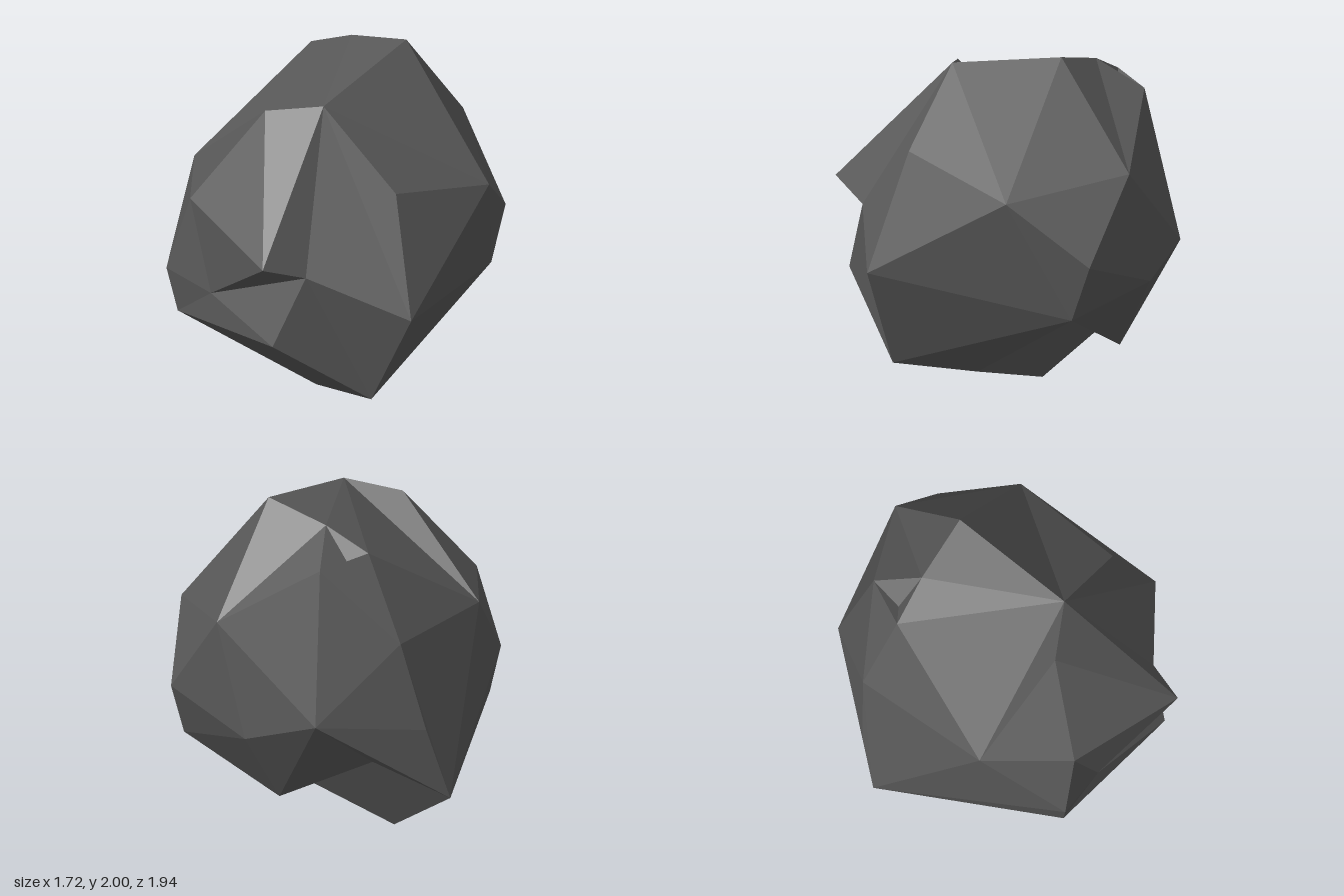
import * as THREE from 'three';

// Corners of the boulder: capitals and lower-case letters are separate points
const corners = {
  // crown
  A: [0, 1.87, 0.30], I: [-0.33, 1.81, 0.30], J: [0.34, 2.0, -0.34], V: [0, 1.915, -0.50],
  c: [-0.25, 1.80, -0.60], d: [-0.13, 1.75, -0.61], X: [0, 1.75, -0.77],
  // front, with the overhang C above the notch E
  B: [0, 1.05, 0.80], C: [-0.21, 1.16, 0.97], D: [-0.17, 0.65, 0.89], E: [-0.58, 0.79, 0.58],
  M: [0.58, 0.80, 0.72], N: [0.45, 1.47, 0.50],
  // sides
  F: [-0.86, 0.85, 0.44], G: [-0.72, 1.31, 0.47], H: [-0.80, 1.31, -0.05], S: [-0.80, 0.58, 0.42],
  K: [0.86, 1.28, -0.08], L: [0.86, 0.925, -0.545], Q: [0.80, 0.61, -0.44],
  // back
  W: [0.58, 1.40, -0.74], Y: [0, 0.89, -0.97], Z: [0.41, 0.75, -0.84],
  e: [-0.45, 1.33, -0.76], g: [-0.59, 0.815, -0.74], T: [-0.715, 0.38, -0.66],
  // underside
  O: [0.33, 0.23, 0.60], P: [0.33, 0.19, 0.13], R: [-0.34, 0, -0.17], U: [0, 0.24, 0.50],
  a: [0.24, 0.34, -0.655], b: [-0.25, 0.47, -0.41],
};

// Facets fan out from a hub to its rim, counter-clockwise from outside.
// A rim that ends on its first corner closes the fan.
const fans = {
  A: 'CBMNKJVcHIC', E: 'CGFSDBC', Y: 'TgeXWZabT', Q: 'MOPbaZLKM', U: 'SRODS',
  H: 'ceTFGI', W: 'XVJKLZ', d: 'VXcV', R: 'STbPO',
  B: 'DOM', N: 'MK', C: 'IG', c: 'Xe', T: 'SF', e: 'gT',
};

function facetedGeometry() {
  const points = [];
  for (const [hub, rim] of Object.entries(fans)) {
    for (let i = 0; i < rim.length - 1; i++) {
      points.push(...corners[hub], ...corners[rim[i]], ...corners[rim[i + 1]]);
    }
  }
  const geometry = new THREE.BufferGeometry();
  geometry.setAttribute('position', new THREE.Float32BufferAttribute(points, 3));
  geometry.computeVertexNormals(); // unshared corners give flat facets
  return geometry;
}

export function createModel() {
  const stone = new THREE.MeshStandardMaterial({ color: 0x595959 });
  stone.name = 'dark grey stone';
  stone.flatShading = true;

  const boulder = new THREE.Mesh(facetedGeometry(), stone);
  boulder.name = 'boulder';

  const model = new THREE.Group();
  model.name = 'rock';
  model.add(boulder);
  return model;
}
